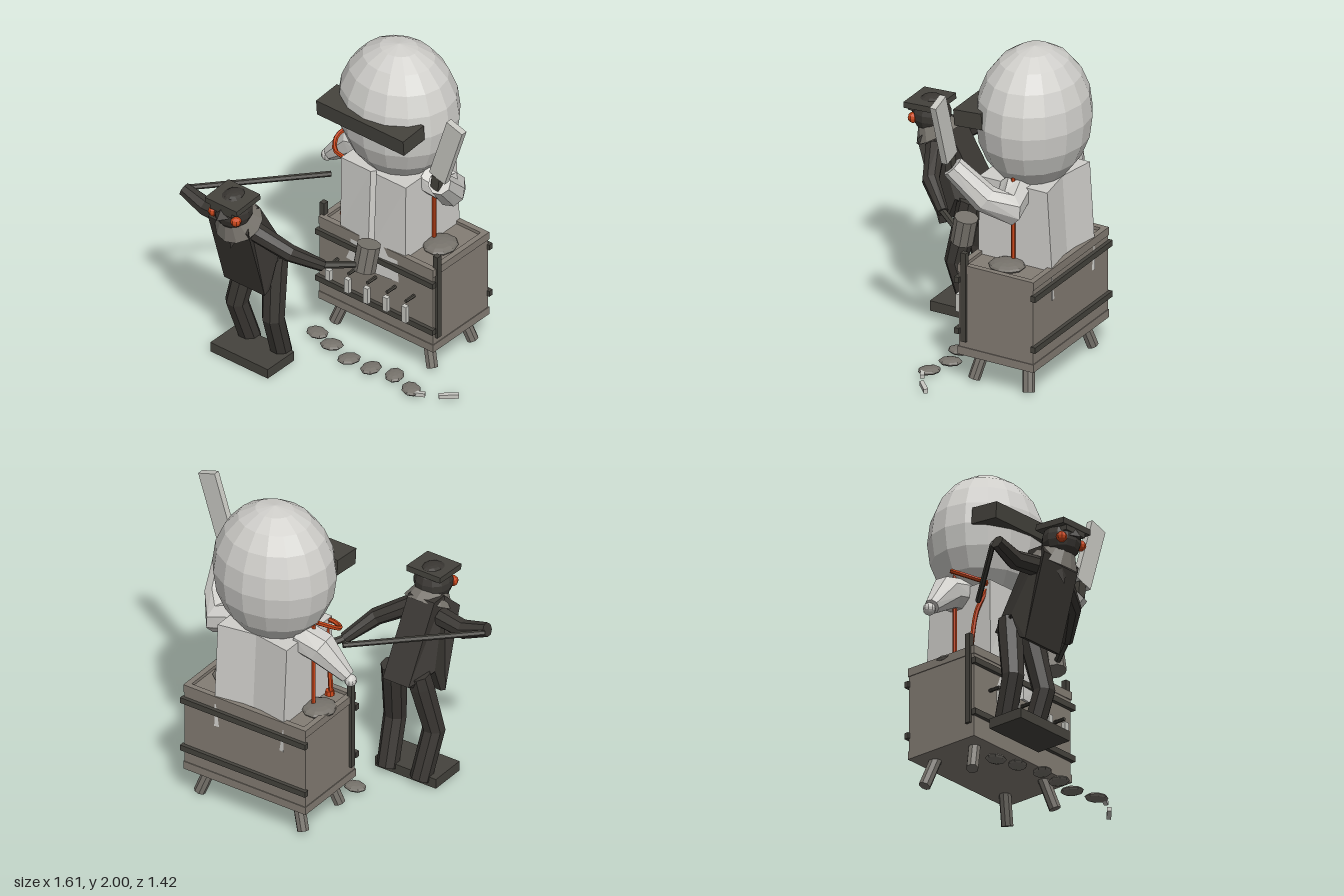
import * as THREE from 'three';

const mat = (name, color) => {
  const m = new THREE.MeshStandardMaterial({ color, flatShading: true, side: THREE.DoubleSide });
  m.name = name;
  return m;
};
const M = {
  white: mat('pale cloth', 0xd0cfcb),
  blade: mat('pale metal', 0xc8c8c2),
  tank: mat('tank grey', 0x847d74),
  grey: mat('mid grey', 0x77736c),
  strap: mat('dark strap', 0x45433d),
  dark: mat('dark cloth', 0x3a3733),
  orange: mat('orange', 0xc8461a),
};
const V = (a) => new THREE.Vector3(...a);

// Closed skin through equal-sized rings of points, with end caps
function loft(rings) {
  const n = rings[0].length, pos = [], idx = [];
  rings.forEach((r) => r.forEach((p) => pos.push(p.x, p.y, p.z)));
  for (let i = 0; i < rings.length - 1; i++) {
    for (let j = 0; j < n; j++) {
      const a = i * n + j, b = i * n + (j + 1) % n;
      idx.push(a, b, b + n, a, b + n, a + n);
    }
  }
  [0, rings.length - 1].forEach((k) => {
    const c = new THREE.Vector3();
    rings[k].forEach((p) => c.addScaledVector(p, 1 / n));
    const ci = pos.length / 3;
    pos.push(c.x, c.y, c.z);
    for (let j = 0; j < n; j++) {
      const a = k * n + j, b = k * n + (j + 1) % n;
      if (k) idx.push(ci, a, b); else idx.push(ci, b, a);
    }
  });
  const g = new THREE.BufferGeometry();
  g.setAttribute('position', new THREE.Float32BufferAttribute(pos, 3));
  g.setIndex(idx);
  g.computeVertexNormals();
  return g;
}

// Faceted limb along a bent path with a radius at each point
function limb(path, radii, sides = 8) {
  const p = path.map(V);
  const rings = p.map((c, i) => {
    const t = p[Math.min(i + 1, p.length - 1)].clone().sub(p[Math.max(i - 1, 0)]).normalize();
    const ref = Math.abs(t.y) > 0.8 ? V([0, 0, 1]) : V([0, 1, 0]);
    const u = ref.addScaledVector(t, -ref.dot(t)).normalize();
    const v = t.clone().cross(u);
    return Array.from({ length: sides }, (_, j) => {
      const a = ((j + 0.5) / sides) * Math.PI * 2;
      return c.clone().addScaledVector(u, Math.cos(a) * radii[i]).addScaledVector(v, Math.sin(a) * radii[i]);
    });
  });
  return loft(rings);
}

export function createModel() {
  const root = new THREE.Group();
  const group = (name) => { const g = new THREE.Group(); g.name = name; root.add(g); return g; };
  const add = (parent, name, geo, m, p = [0, 0, 0], r = [0, 0, 0], s = [1, 1, 1]) => {
    const mesh = new THREE.Mesh(geo, m);
    mesh.name = name;
    mesh.position.set(...p);
    mesh.rotation.set(...r);
    mesh.scale.set(...s);
    parent.add(mesh);
    return mesh;
  };
  const box = (w, h, d) => new THREE.BoxGeometry(w, h, d);
  const ball = (r, w = 10, h = 8) => new THREE.SphereGeometry(r, w, h);

  // Tank with raised rim, straps, splayed legs and corner rods
  const tank = group('tank'), cx = 0.13, cz = -0.38;
  add(tank, 'tankBody', box(0.84, 0.50, 0.49), M.tank, [cx, 0.48, cz]);
  add(tank, 'tankBase', box(0.85, 0.05, 0.50), M.tank, [cx, 0.205, cz]);
  for (const s of [-1, 1]) {
    add(tank, 'rimLong', box(0.85, 0.05, 0.035), M.tank, [cx, 0.725, cz + s * 0.2325]);
    add(tank, 'rimShort', box(0.035, 0.05, 0.50), M.tank, [cx + s * 0.4075, 0.725, cz]);
    add(tank, 'cornerRod', box(0.033, 0.56, 0.035), M.strap, [cx + s * 0.42, 0.55, -0.172]);
    for (const y of [0.328, 0.65]) add(tank, 'strap', box(0.87, 0.036, 0.03), M.strap, [cx, y, cz + s * 0.253]);
    for (const t of [-1, 1]) {
      add(tank, 'tankLeg', limb([[cx + s * 0.29, 0.22, cz + t * 0.14], [cx + s * 0.36, 0.015, cz + t * 0.18]],
        [0.036, 0.036]), M.grey);
    }
    add(tank, 'lid', ball(0.11), M.grey, [0.1 + s * 0.31, 0.74, -0.37], [0, 0, 0], [0.9, 0.28, 1]);
  }

  // Row of taps with pale drips
  [-0.155, -0.015, 0.125, 0.27, 0.41].forEach((x, i) => {
    const h = [0.07, 0.095, 0.105, 0.095, 0.11][i];
    add(tank, 'tap', limb([[x, 0.51, -0.14], [x, 0.51, -0.06]], [0.011, 0.011], 6), M.strap);
    add(tank, 'drip', box(0.034, h, 0.028), M.blade, [x, 0.483 - h / 2, -0.055]);
  });

  // Tall figure: tapered gown with a front groove, big head, visor
  const tall = group('tallFigure');
  const gown = [[0.55, -0.128, -0.63, 0.012], [0.75, -0.133, -0.625, 0.008], [1.22, -0.145, -0.595, 0]]
    .map(([y, f, b, k]) => [[0.1, f - 0.03], [0.12, f + k], [0.34, f - k], [0.34, b], [0.1, b + 0.04],
      [-0.14, b], [-0.14, f - k], [0.08, f + k]].map(([x, z]) => V([x, y, z])));
  add(tall, 'gown', loft(gown), M.white);
  add(tall, 'bigHead', ball(1, 16, 10), M.white, [0.102, 1.57, -0.37], [0, 0, 0], [0.374, 0.43, 0.326]);
  add(tall, 'visor', box(0.645, 0.1, 0.185), M.strap, [0.1, 1.602, -0.118], [0.08, 0, 0]);

  // Raised arm with a long blade
  add(tall, 'raisedSleeve', limb([[0.3, 1.18, -0.37], [0.46, 1.13, -0.41], [0.54, 1.2, -0.3], [0.605, 1.385, -0.125]],
    [0.1, 0.1, 0.085, 0.068]), M.white);
  add(tall, 'bladeGrip', box(0.055, 0.09, 0.04), M.strap, [0.6, 1.4, -0.11], [0, 0, -0.1]);
  add(tall, 'blade', box(0.12, 0.425, 0.04), M.blade, [0.68, 1.645, -0.11], [0, 0, -0.31]);

  // Lowered arm with a small round hand
  add(tall, 'loweredSleeve', limb([[-0.1, 1.2, -0.39], [-0.24, 1.17, -0.39], [-0.4, 1.02, -0.36]],
    [0.1, 0.1, 0.045]), M.white);
  add(tall, 'loweredHand', ball(0.037), M.white, [-0.42, 1.0, -0.36]);

  // Orange rods and hose
  for (const x of [-0.175, 0.355]) {
    add(tall, 'orangeRod', limb([[x, 0.74, cz], [x, 1.28, cz], [x, 1.34, cz]], [0.013, 0.013, 0.006], 6), M.orange);
  }
  const hose = new THREE.CatmullRomCurve3([[-0.2, 0.76, -0.24], [-0.17, 1.03, -0.22], [-0.13, 1.2, -0.17],
    [-0.22, 1.21, -0.19], [-0.27, 1.25, -0.27], [-0.2, 1.32, -0.38]].map(V));
  add(tall, 'orangeHose', new THREE.TubeGeometry(hose, 24, 0.014, 6), M.orange);
  add(tall, 'hoseFoot', new THREE.CylinderGeometry(0.025, 0.03, 0.03, 8), M.orange, [-0.19, 0.77, -0.24]);

  // Dark figure: leaning coat, drawn in profile and narrowed at the back
  const man = group('darkFigure');
  const profile = new THREE.Shape([[0.59, 1.04], [0.445, 0.54], [0.4, 0.56], [0.34, 0.72], [0.25, 0.635],
    [0.165, 0.68], [0.42, 1.12], [0.52, 1.12]].map((a) => new THREE.Vector2(...a)));
  const coat = new THREE.ExtrudeGeometry(profile, { depth: 0.3, bevelEnabled: false });
  coat.translate(0, 0, -0.15).rotateY(-Math.PI / 2);
  const cp = coat.attributes.position;
  for (let i = 0; i < cp.count; i++) {
    const line = cp.getZ(i) - (0.3 + (cp.getY(i) - 0.7) * 0.55);
    if (line < 0) cp.setX(i, cp.getX(i) * 0.6);
  }
  // Extruding turned to the side keeps z forward
  let zc = 0;
  for (let i = 0; i < cp.count; i++) zc += cp.getZ(i);
  if (zc < 0) coat.rotateY(Math.PI);
  coat.computeVertexNormals();
  add(man, 'coat', coat, M.dark, [-0.365, 0, 0]);

  // Legs and shared shoe block
  add(man, 'rightLeg', limb([[-0.45, 0.72, 0.27], [-0.46, 0.64, 0.285], [-0.505, 0.33, 0.345], [-0.48, 0.03, 0.25]],
    [0.07, 0.075, 0.068, 0.065]), M.dark);
  add(man, 'leftLeg', limb([[-0.27, 0.72, 0.27], [-0.27, 0.64, 0.285], [-0.235, 0.33, 0.345], [-0.25, 0.03, 0.25]],
    [0.07, 0.075, 0.068, 0.065]), M.dark);
  add(man, 'shoes', box(0.425, 0.062, 0.235), M.strap, [-0.378, 0.035, 0.36]);

  // Collar, head, eyes and square cap
  add(man, 'collar', new THREE.CylinderGeometry(0.085, 0.145, 0.1, 12), M.grey, [-0.345, 1.085, 0.545], [0.53, 0, 0]);
  add(man, 'tie', new THREE.ConeGeometry(0.06, 0.12, 4), M.dark, [-0.345, 0.95, 0.575], [Math.PI - 0.28, 0, 0], [1, 1, 0.3]);
  add(man, 'head', ball(0.115, 12, 9), M.dark, [-0.345, 1.16, 0.57]);
  add(man, 'nose', new THREE.ConeGeometry(0.05, 0.05, 4), M.dark, [-0.345, 1.185, 0.675], [0.2, 0, 0]);
  for (const s of [-1, 1]) {
    add(man, 'eye', ball(0.032, 8, 6), M.orange, [-0.345 + s * 0.083, 1.145, 0.645]);
  }
  add(man, 'capBrim', box(0.235, 0.036, 0.21), M.strap, [-0.34, 1.237, 0.58], [0.06, 0, 0]);
  add(man, 'capBand', box(0.16, 0.04, 0.08), M.strap, [-0.345, 1.205, 0.64], [0.06, 0, 0]);
  add(man, 'capCrown', ball(0.06), M.dark, [-0.345, 1.25, 0.56], [0, 0, 0], [1, 0.45, 1.2]);

  // Arm holding the pole
  add(man, 'rightArm', limb([[-0.46, 1.0, 0.48], [-0.63, 0.985, 0.465], [-0.79, 1.04, 0.47]],
    [0.06, 0.057, 0.042]), M.dark);
  add(man, 'pole', limb([[-0.79, 1.035, 0.44], [-0.225, 1.06, -0.16]], [0.017, 0.017], 6), M.strap);

  // Arm holding the mug
  add(man, 'leftArm', limb([[-0.25, 1.0, 0.49], [-0.06, 0.89, 0.41], [0.06, 0.775, 0.26]],
    [0.06, 0.052, 0.035]), M.dark);
  add(man, 'leftForearm', limb([[0.05, 0.78, 0.27], [0.18, 0.74, 0.08]], [0.022, 0.02], 6), M.strap);
  add(man, 'mug', new THREE.CylinderGeometry(0.07, 0.07, 0.165, 10), M.grey, [0.2, 0.78, 0.035], [-0.2, 0, -0.05]);

  // Pebbles and pale scraps on the ground
  const ground = group('groundPieces');
  [[-0.22, -0.03], [-0.08, 0.01], [0.085, 0.055], [0.24, 0.045], [0.39, 0.015], [0.55, 0.06]].forEach(([x, z], i) => {
    add(ground, 'pebble', ball(0.07, 8, 6), M.grey, [x, 0.028, z], [0, i * 0.5, 0], [1, 0.3, 0.8]);
  });
  add(ground, 'smallScrap', box(0.06, 0.024, 0.025), M.blade, [0.62, 0.028, 0.065], [0, 0.5, 0]);
  add(ground, 'longScrap', box(0.115, 0.026, 0.026), M.blade, [0.758, 0.028, -0.025], [0, 0.75, 0]);

  return root;
}
